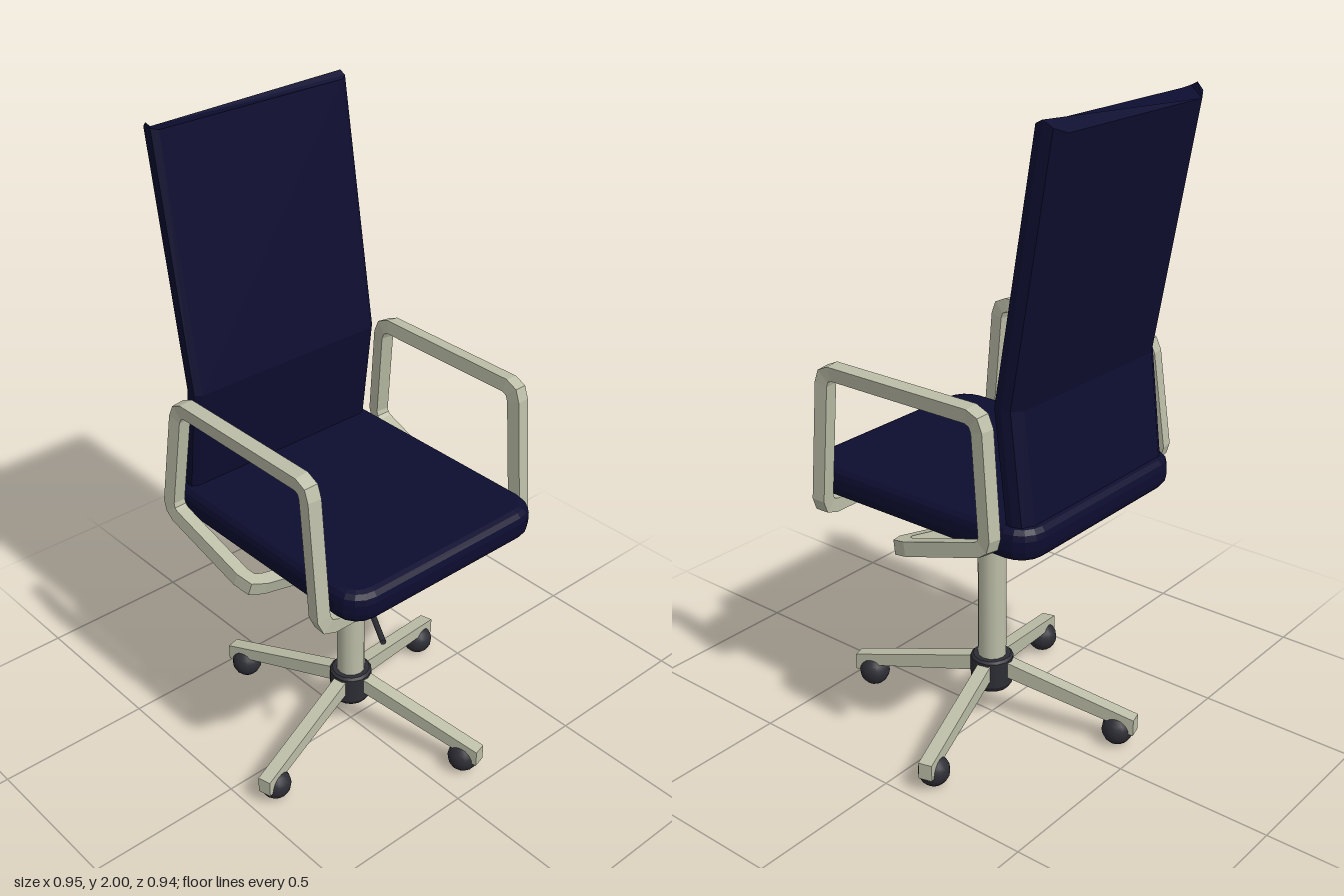
import * as THREE from 'three';

const mat = (name, color) => {
  const m = new THREE.MeshStandardMaterial({ color });
  m.name = name;
  return m;
};
const V = (x, y, z) => new THREE.Vector3(x, y, z);

// Skin a list of equal-length rings with flat quads and close both ends
function loft(rings) {
  const pos = [];
  const tri = (...pts) => pts.forEach((p) => pos.push(p.x, p.y, p.z));
  const n = rings[0].length;
  for (let r = 0; r + 1 < rings.length; r++) {
    const a = rings[r], b = rings[r + 1];
    for (let i = 0; i < n; i++) {
      const j = (i + 1) % n;
      tri(a[i], a[j], b[j]);
      tri(a[i], b[j], b[i]);
    }
  }
  const first = rings[0], last = rings[rings.length - 1];
  for (let i = 1; i + 1 < n; i++) {
    tri(first[0], first[i + 1], first[i]);
    tri(last[0], last[i], last[i + 1]);
  }
  const g = new THREE.BufferGeometry();
  g.setAttribute('position', new THREE.Float32BufferAttribute(pos, 3));
  g.computeVertexNormals();
  return g;
}

// Square bar along a path, mitred at every bend; the path starts across x
function squareBar(path, half) {
  const dirs = path.slice(1).map((p, i) => p.clone().sub(path[i]).normalize());
  const u = V(1, 0, 0), v = dirs[0].clone().cross(u);
  let ring = [[1, 1], [-1, 1], [-1, -1], [1, -1]].map(([a, b]) =>
    path[0].clone().addScaledVector(u, a * half).addScaledVector(v, b * half));
  const rings = [ring];
  dirs.forEach((d, i) => {
    const plane = d.clone().add(dirs[i + 1] ?? d).normalize();
    const end = path[i + 1];
    ring = ring.map((c) => {
      const t = end.clone().sub(c).dot(plane) / d.dot(plane);
      return c.clone().addScaledVector(d, t);
    });
    rings.push(ring);
  });
  return loft(rings);
}

// Rounded rectangle in plan
function plan(x0, x1, h, r) {
  const s = new THREE.Shape();
  s.moveTo(x0 + r, -h);
  s.lineTo(x1 - r, -h);
  s.absarc(x1 - r, -h + r, r, -Math.PI / 2, 0);
  s.lineTo(x1, h - r);
  s.absarc(x1 - r, h - r, r, 0, Math.PI / 2);
  s.lineTo(x0 + r, h);
  s.absarc(x0 + r, h - r, r, Math.PI / 2, Math.PI);
  s.lineTo(x0, -h + r);
  s.absarc(x0 + r, -h + r, r, Math.PI, Math.PI * 1.5);
  return s;
}

export function createModel() {
  const model = new THREE.Group();
  const fabric = mat('navy fabric', 0x0d0d30);
  const frame = mat('pale frame', 0xbcbea8);
  const dark = mat('dark plastic', 0x2d2d35);
  const under = mat('black underside', 0x1e1e1e);

  const add = (name, geo, material, parent = model) => {
    const m = new THREE.Mesh(geo, material);
    m.name = name;
    parent.add(m);
    return m;
  };

  // Seat cushion with soft edges
  const seat = new THREE.ExtrudeGeometry(plan(-0.42, 0.43, 0.37, 0.085), {
    depth: 0.03, bevelThickness: 0.035, bevelSize: 0.03, bevelOffset: -0.03,
    bevelSegments: 3, curveSegments: 2,
  });
  seat.rotateX(-Math.PI / 2).translate(0, 0.835, 0);
  add('seat', seat, fabric);

  const panel = new THREE.ExtrudeGeometry(plan(-0.388, 0.398, 0.338, 0.055), {
    depth: 0.006, bevelEnabled: false, curveSegments: 2,
  });
  panel.rotateX(-Math.PI / 2).translate(0, 0.796, 0);
  add('seatUnderside', panel, under);

  // Bent backrest: one section (depth, half width) lofted through three stations
  const side = [[0, 0.3], [0.25, 0.335], [0.58, 0.345], [0.85, 0.345], [1, 0.325]];
  const section = [...side, ...side.map(([t, z]) => [t, -z]).reverse()];
  const crown = (t) => (t < 0.58 ? (t / 0.58) * 0.033 : 0.033 - (t - 0.58) * 0.04);
  const stations = [[-0.4, 0.85, 0.075, 0], [-0.354, 1.22, 0.077, 0.3], [-0.48, 1.967, 0.077, 1]];
  add('backrest', loft(stations.map(([x, y, depth, k]) =>
    section.map(([t, z]) => V(x + t * depth, y + k * crown(t), z)))), fabric);

  // Armrest frame: front crossbar, arm loop, then under the seat to the hub
  const armPath = [
    [0.322, 0.772, 0], [0.322, 0.772, 0.355], [0.321, 0.782, 0.385], [0.318, 0.81, 0.397],
    [0.286, 1.178, 0.397], [0.276, 1.206, 0.397], [0.25, 1.218, 0.397],
    [-0.25, 1.218, 0.397], [-0.278, 1.206, 0.397], [-0.291, 1.178, 0.398],
    [-0.327, 0.885, 0.413], [-0.32, 0.86, 0.413], [-0.3, 0.845, 0.413],
    [-0.03, 0.756, 0.402], [0.008, 0.745, 0.392], [0.02, 0.738, 0.36], [0.02, 0.667, 0.03],
  ];
  for (const s of [1, -1]) {
    add(s > 0 ? 'armFrameFront' : 'armFrameBack',
      squareBar(armPath.map(([x, y, z]) => V(x, y, z * s)), 0.0215), frame);
  }

  // Central column and its hubs
  const turned = (pts) => new THREE.LatheGeometry(
    pts.map(([r, y]) => new THREE.Vector2(r, y)), 14);
  add('column', new THREE.CylinderGeometry(0.045, 0.045, 0.45, 12).translate(0, 0.4, 0), frame);
  add('upperHub', turned([[0, 0.605], [0.065, 0.605], [0.065, 0.605], [0.076, 0.62], [0.076, 0.62],
    [0.076, 0.735], [0.076, 0.735], [0.1, 0.745], [0.1, 0.745], [0.1, 0.8]]), dark);
  add('lowerHub', turned([[0, 0.105], [0.055, 0.105], [0.055, 0.105], [0.068, 0.125], [0.068, 0.125],
    [0.068, 0.21], [0.068, 0.21], [0.06, 0.217], [0.06, 0.217], [0, 0.217]]), dark);

  // Height lever
  const lever = new THREE.Group();
  lever.name = 'heightLever';
  lever.position.set(0, 0.642, 0);
  lever.rotation.y = -Math.atan2(0.2, 0.365);
  const rod = (r, x0, x1) => new THREE.CylinderGeometry(r, r, x1 - x0, 8)
    .rotateZ(Math.PI / 2).translate((x0 + x1) / 2, 0, 0);
  add('leverRod', rod(0.006, 0.05, 0.25), dark, lever);
  add('leverGrip', rod(0.009, 0.22, 0.415), dark, lever);
  model.add(lever);

  // Four legs with ball casters
  const profile = new THREE.Shape([[0.04, 0.208], [0.04, 0.155], [0.4, 0.08], [0.448, 0.07],
    [0.448, 0.05], [0.482, 0.05], [0.482, 0.103]].map(([x, y]) => new THREE.Vector2(x, y)));
  for (let i = 0; i < 4; i++) {
    const leg = new THREE.Group();
    leg.name = 'baseLeg' + (i + 1);
    leg.rotation.y = 0.265 + i * Math.PI / 2;
    add('legBar', new THREE.ExtrudeGeometry(profile, { depth: 0.043, bevelEnabled: false })
      .translate(0, 0, -0.0215), frame, leg);
    add('caster', new THREE.SphereGeometry(0.049, 14, 10).translate(0.424, 0.049, 0), dark, leg);
    model.add(leg);
  }
  return model;
}
